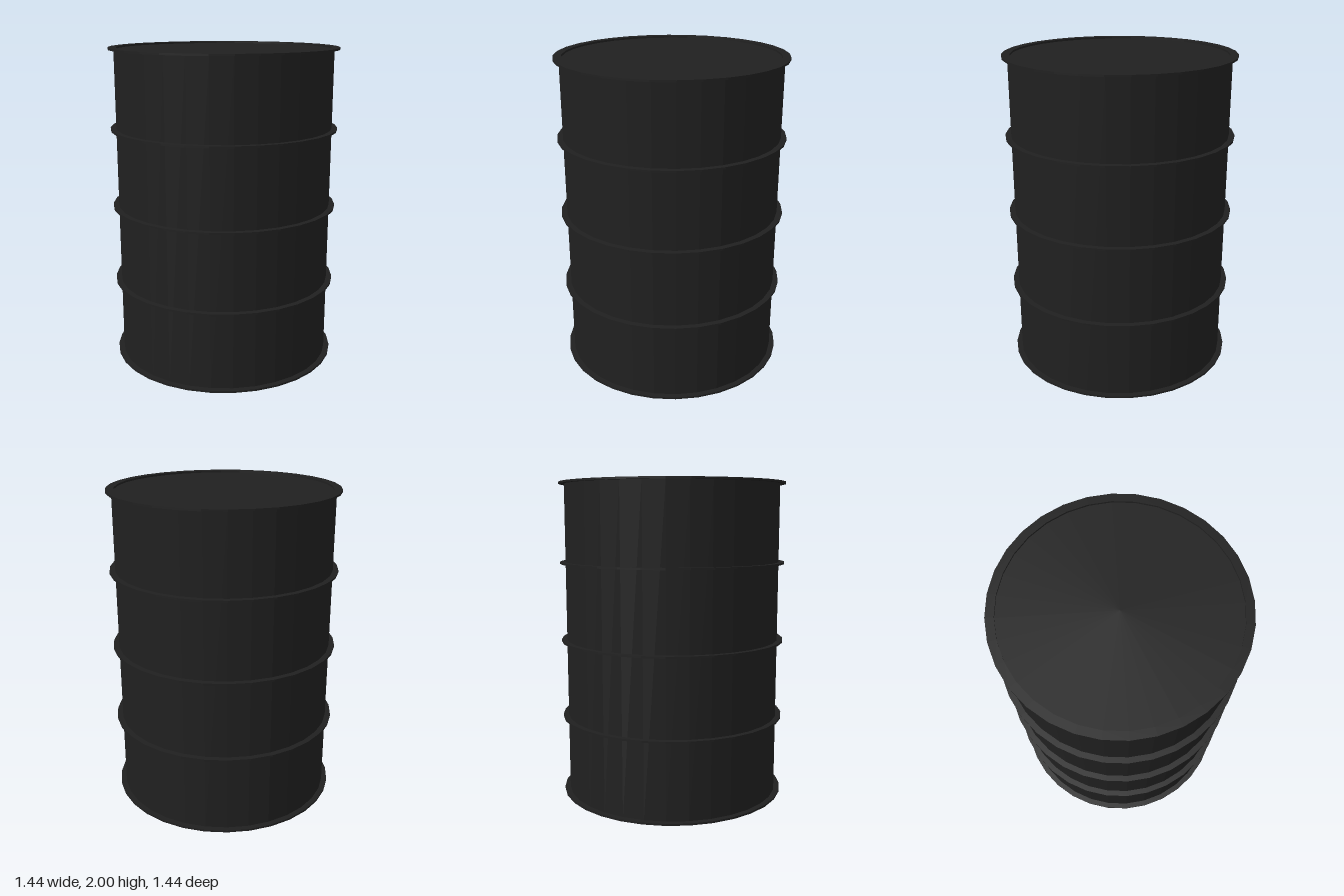
import * as THREE from 'three';

const SIDES = 32;
const BODY_R = 0.685, RIM_R = 0.72, RIM_INNER = 0.67, RIM_H = 0.012;

export function createModel() {
  const drum = new THREE.Group();
  drum.name = 'drum';
  const paint = new THREE.MeshStandardMaterial({ color: 0x202020, flatShading: true });

  const add = (name, geometry, y) => {
    const mesh = new THREE.Mesh(geometry, paint);
    mesh.name = name;
    mesh.position.y = y;
    drum.add(mesh);
  };

  // closed body; its lid sits just below the top rim
  const bodyH = 2 - RIM_H;
  add('body', new THREE.CylinderGeometry(BODY_R, BODY_R, bodyH, SIDES), bodyH / 2);

  // thin flat hoops with a square section, evenly spaced from bottom to top
  const section = [
    [RIM_INNER, 0], [RIM_R, 0], [RIM_R, RIM_H], [RIM_INNER, RIM_H], [RIM_INNER, 0],
  ].map(([r, y]) => new THREE.Vector2(r, y));
  const hoop = new THREE.LatheGeometry(section, SIDES);
  const names = ['bottomRim', 'lowerHoop', 'middleHoop', 'upperHoop', 'topRim'];
  names.forEach((name, i) => add(name, hoop, (i * (2 - RIM_H)) / 4));

  // bottom plate closing the lower rim
  add('bottomPlate', new THREE.CylinderGeometry(RIM_R - 0.001, RIM_R - 0.001, RIM_H - 0.002, SIDES), RIM_H / 2);

  return drum;
}
